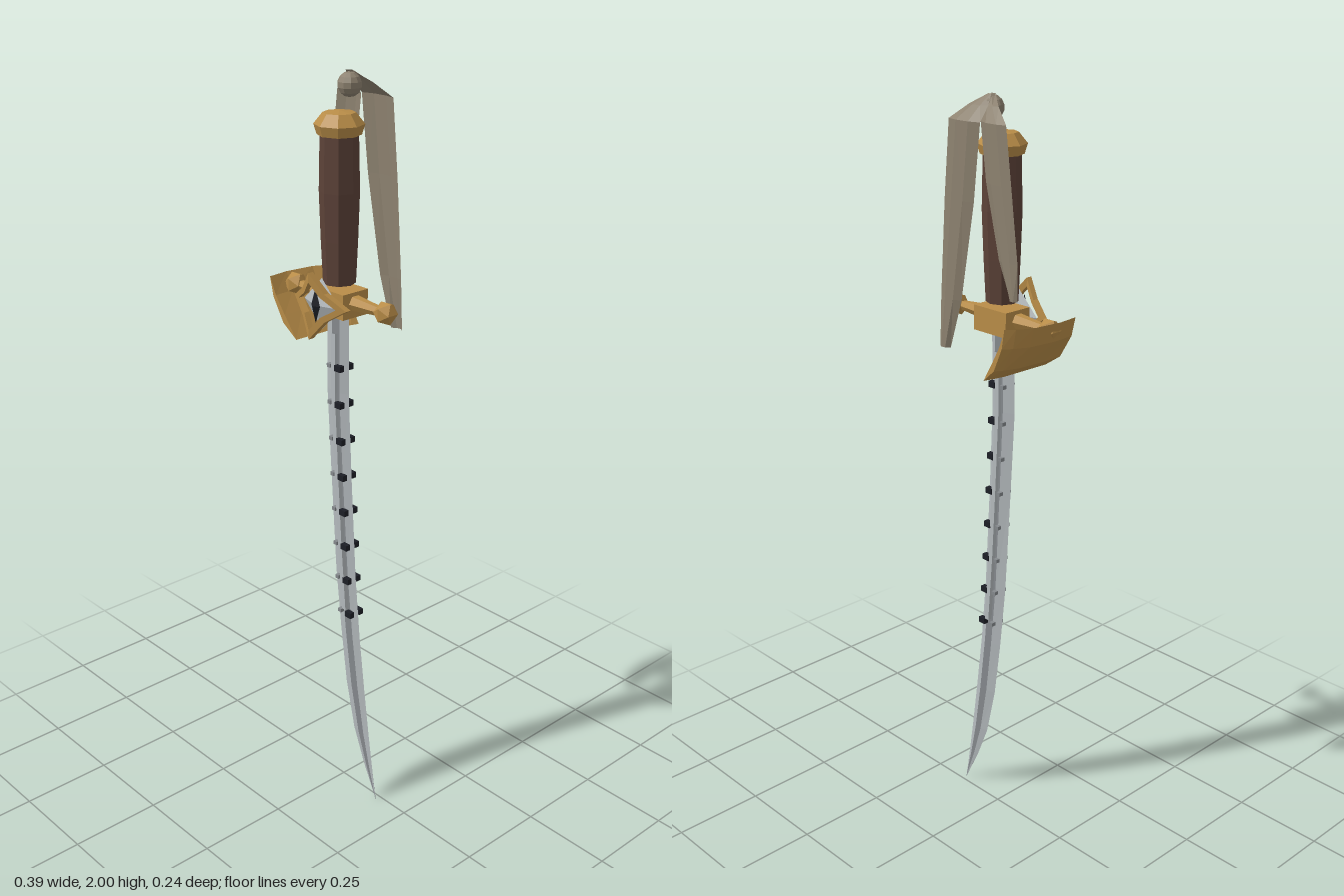
import * as THREE from 'three';

const mat = (name, color, extra = {}) => {
  const m = new THREE.MeshStandardMaterial({ color, flatShading: true, ...extra });
  m.name = name;
  return m;
};

// Skin a grid of points; every row is one cross-section.
function loft(rows, closedRing = false, closedPath = false) {
  const pos = [];
  const nr = rows.length, nc = rows[0].length;
  for (let i = 0; i < (closedPath ? nr : nr - 1); i++) {
    for (let j = 0; j < (closedRing ? nc : nc - 1); j++) {
      const r = rows[i], s = rows[(i + 1) % nr], k = (j + 1) % nc;
      pos.push(...r[j], ...r[k], ...s[k], ...r[j], ...s[k], ...s[j]);
    }
  }
  const g = new THREE.BufferGeometry();
  g.setAttribute('position', new THREE.Float32BufferAttribute(pos, 3));
  g.computeVertexNormals();
  return g;
}

export function createModel() {
  const group = new THREE.Group();
  const D = { side: THREE.DoubleSide };
  const gold = mat('gold', 0xb98d48, D);
  const wood = mat('brown grip', 0x5c4238);
  const cloth = mat('cloth', 0x8d8270, D);
  const edge = mat('bright steel', 0xb4babd, D);
  const core = mat('dark steel', 0x85898d, D);
  const black = mat('black', 0x1d1f26);
  const Z = 0.015; // depth of the sword's axis

  const add = (name, geo, m, x = 0, y = 0, z = 0) => {
    const mesh = new THREE.Mesh(geo, m);
    mesh.name = name;
    mesh.position.set(x, y, z);
    group.add(mesh);
    return mesh;
  };
  const lathe = pts => new THREE.LatheGeometry(pts.map(p => new THREE.Vector2(...p)), 8);

  // Blade outline: y, cutting edge x, spine x, half thickness
  const outline = [
    [1.42, -0.046, 0.036, 0.012], [1.2, -0.047, 0.035, 0.012], [0.97, -0.033, 0.046, 0.011],
    [0.68, -0.014, 0.063, 0.009], [0.5, 0.006, 0.08, 0.008], [0.34, 0.028, 0.1, 0.007],
    [0.2, 0.06, 0.119, 0.005], [0.1, 0.1, 0.134, 0.003], [0, 0.15, 0.15, 0.001],
  ];
  const at = y => {
    let i = 0;
    while (i < outline.length - 2 && outline[i + 1][0] > y) i++;
    const a = outline[i], b = outline[i + 1], t = (y - a[0]) / (b[0] - a[0]);
    return a.map((v, k) => v + (b[k] - v) * t);
  };
  const sections = outline.map(([y, l, r, h]) => {
    const p = (t, s) => [l + (r - l) * t, y, Z + s * h];
    return [p(1, 0), p(0.72, 1), p(0.38, 1), p(0, 0), p(0.38, -1), p(0.72, -1)];
  });
  for (let j = 0; j < 6; j++) {
    const flat = j === 1 || j === 4;
    add(flat ? 'bladeFuller' : 'bladeBevel', loft(sections.map(s => [s[j], s[(j + 1) % 6]])), flat ? core : edge);
  }

  // Raised rail through the blade, with studs on both faces
  const railX = y => { const [, l, r] = at(y); return l + (r - l) * 0.55; };
  add('bladeRail', loft([1.36, 1.2, 0.97, 0.78, 0.58].map(y => {
    const x = railX(y);
    return [[x + 0.007, y, Z + 0.021], [x - 0.007, y, Z + 0.021], [x - 0.007, y, Z - 0.021], [x + 0.007, y, Z - 0.021]];
  }), true), edge);
  for (let i = 0; i < 8; i++) {
    const y = 1.27 - i * 0.1, x = railX(y);
    for (const s of [1, -1]) {
      add('darkStud', new THREE.BoxGeometry(0.022, 0.016, 0.014), black, x + 0.017, y, Z + s * 0.016);
      add('steelStud', new THREE.BoxGeometry(0.012, 0.01, 0.012), core, x - 0.018, y, Z + s * 0.015);
    }
  }

  // Grip and pommel
  add('grip', lathe([[0, 1.48], [0.041, 1.49], [0.046, 1.6], [0.05, 1.72], [0.047, 1.86], [0, 1.87]]), wood, 0, 0, Z);
  add('pommel', lathe([[0, 1.85], [0.054, 1.855], [0.062, 1.88], [0.04, 1.907], [0, 1.912]]), gold, 0, 0, Z);

  // Crossguard with ball ends
  add('guardBlock', new THREE.BoxGeometry(0.115, 0.065, 0.083), gold, 0, 1.445, 0.014);
  for (const s of [1, -1]) {
    const arm = add('guardArm', new THREE.CylinderGeometry(0.012, 0.022, 0.11, 6), gold, s * 0.095, 1.45, Z);
    arm.rotation.z = -s * Math.PI / 2;
    add('guardBall', new THREE.IcosahedronGeometry(0.031, 0), gold, s * 0.166, 1.45, Z);
  }

  // Bent diamond frame around the eye
  const ring = [[0.095, 0], [0.04, 0.036], [0, 0.084], [-0.04, 0.036], [-0.095, 0], [-0.04, -0.036], [0, -0.086], [0.04, -0.036]];
  add('eyeFrame', loft(ring.map(([x, y]) => {
    const p = (k, d) => [x * k, 1.45 + y * k, 0.118 - 0.4 * Math.abs(x * k) - d];
    return [p(0.72, 0), p(1, 0), p(1, 0.016), p(0.72, 0.016)];
  }), true, true), gold);
  const gem = add('eyeWhite', new THREE.OctahedronGeometry(1), edge, 0, 1.447, 0.073);
  gem.scale.set(0.066, 0.066, 0.022);
  const pupil = add('eyePupil', new THREE.OctahedronGeometry(1), black, 0, 1.447, 0.094);
  pupil.scale.set(0.016, 0.046, 0.012);

  // Curved hand plate on the right side: z, top x, bottom x
  const plate = [[0.08, -0.192, -0.092], [0.02, -0.198, -0.091], [-0.06, -0.188, -0.09], [-0.1, -0.168, -0.083], [-0.122, -0.15, -0.077]];
  const curve = [[0, 1.475], [0.12, 1.425], [0.5, 1.363], [1, 1.33], [0.56, 1.385], [0.22, 1.43]];
  const rows = plate.map(([z, a, b]) => curve.map(([t, y]) => [a + (b - a) * t, y, z]));
  add('handPlate', loft(rows, true), gold);
  for (const r of [rows[0], rows[4]]) add('handPlateEnd', loft([[r[0], r[1], r[2], r[3]], [r[0], r[5], r[4], r[3]]]), gold);

  // Knot and two folded cloth tails: y, outer x, inner x, z
  add('clothKnot', new THREE.SphereGeometry(0.03, 10, 7), cloth, 0, 1.968, -0.018);
  const tail = (name, pts) => add(name, loft(pts.map(([y, a, b, z]) => [
    [a, y, z], [a + (b - a) * 0.3, y, z - 0.007], [a + (b - a) * 0.7, y, z - 0.006], [b, y, z + 0.004],
  ])), cloth);
  tail('clothTailLeft', [[2, 0.008, -0.012, -0.02], [1.975, 0.045, -0.016, -0.05], [1.94, 0.085, -0.02, -0.08],
    [1.75, 0.1, 0, -0.083], [1.5, 0.116, 0.045, -0.085], [1.37, 0.12, 0.085, -0.087]]);
  tail('clothTailRight', [[2, -0.008, 0.006, -0.015], [1.975, -0.045, 0.002, -0.04], [1.94, -0.095, -0.005, -0.064],
    [1.8, -0.115, -0.025, -0.066], [1.62, -0.138, -0.07, -0.067], [1.53, -0.14, -0.11, -0.068]]);

  return group;
}
